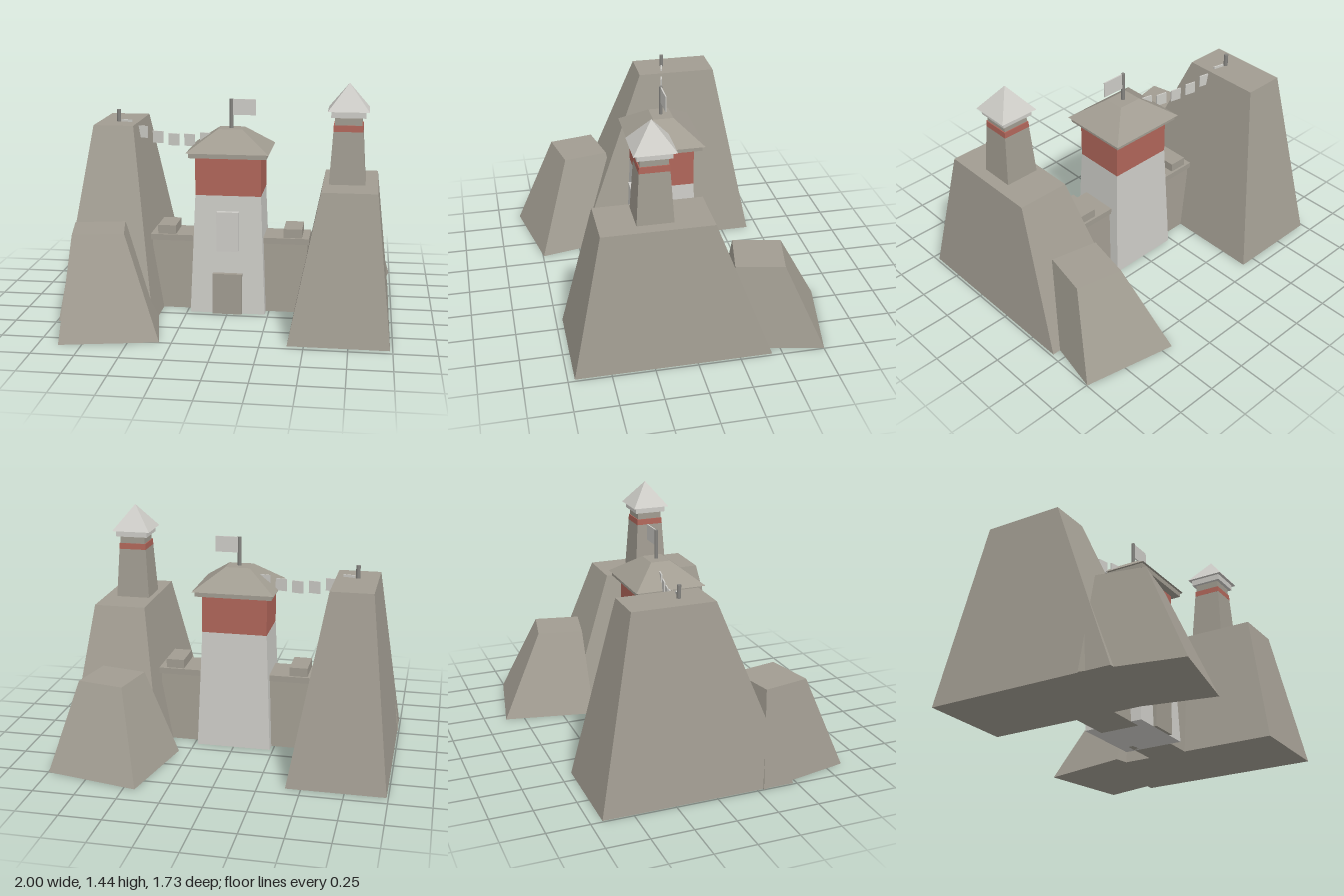
import * as THREE from 'three';

const mat = (name, color) => {
  const m = new THREE.MeshStandardMaterial({ color });
  m.name = name;
  return m;
};

export function createModel() {
  const stone = mat('stone', 0xa19c91);
  const plaster = mat('pale plaster', 0xcdccc7);
  const red = mat('faded red', 0xb0665a);
  const metal = mat('mast grey', 0x858480);

  const model = new THREE.Group();
  model.name = 'cliffFort';

  const add = (parent, name, geometry, material, x, y, z, turn = 0) => {
    const mesh = new THREE.Mesh(geometry, material);
    mesh.name = name;
    mesh.position.set(x, y, z);
    mesh.rotation.y = turn;
    parent.add(mesh);
    return mesh;
  };

  // Box standing on y = 0 whose top may be smaller and shifted
  const block = (w, h, d, topW = w, topD = d, shiftX = 0, shiftZ = 0) => {
    const g = new THREE.BoxGeometry(w, h, d).translate(0, h / 2, 0);
    const p = g.attributes.position;
    for (let i = 0; i < p.count; i++) {
      if (p.getY(i) < h / 2) continue;
      p.setX(i, p.getX(i) * topW / w + shiftX);
      p.setZ(i, p.getZ(i) * topD / d + shiftZ);
    }
    g.computeVertexNormals();
    return g;
  };

  // Cliffs
  const cliffs = new THREE.Group();
  cliffs.name = 'cliffs';
  model.add(cliffs);
  add(cliffs, 'tallCliff', block(0.58, 1.125, 1.16, 0.25, 0.49, -0.035, -0.115), stone, -0.7, 0, -0.1);
  add(cliffs, 'wideCliff', block(0.58, 0.855, 1.15, 0.32, 0.64, 0.04, 0.075), stone, 0.695, 0, 0.135);
  add(cliffs, 'frontBoulder', block(0.572, 0.58, 0.582, 0.3, 0.287, -0.057, -0.093), stone, -0.66, 0, 0.517, 0.2);
  add(cliffs, 'backBoulder', block(0.575, 0.508, 0.576, 0.288, 0.287, 0.057, 0.098), stone, 0.658, 0, -0.527, -0.2);

  // Gate tower
  const tower = new THREE.Group();
  tower.name = 'gateTower';
  tower.position.z = 0.015;
  model.add(tower);
  add(tower, 'towerBody', block(0.46, 0.735, 0.38, 0.4, 0.32), plaster, 0, 0, 0);
  add(tower, 'redStorey', block(0.4, 0.235, 0.32), red, 0, 0.735, 0);
  add(tower, 'eaves', block(0.47, 0.03, 0.41), stone, 0, 0.97, 0);
  add(tower, 'hippedRoof', block(0.5, 0.125, 0.44, 0.15, 0.123), stone, 0, 1, 0);
  add(tower, 'door', block(0.18, 0.255, 0.06), stone, 0, 0, 0.18);
  add(tower, 'windowPanel', block(0.135, 0.245, 0.05), plaster, 0, 0.395, 0.17);
  add(tower, 'flagMast', new THREE.CylinderGeometry(0.012, 0.012, 0.19, 8), metal, 0, 1.208, 0);
  add(tower, 'flag', block(0.14, 0.097, 0.008), plaster, 0.08, 1.205, 0);

  // Curtain walls on both sides of the tower
  for (const side of [-1, 1]) {
    const wall = new THREE.Group();
    wall.name = side < 0 ? 'rightWall' : 'leftWall';
    wall.position.set(side * 0.315, 0, 0.012);
    model.add(wall);
    add(wall, 'wallBody', block(0.33, 0.43, 0.25, 0.33, 0.2), stone, 0, 0, 0);
    add(wall, 'coping', block(0.35, 0.037, 0.23), stone, 0, 0.43, 0);
    add(wall, 'merlon', block(0.112, 0.056, 0.2), stone, side * 0.075, 0.466, 0);
  }

  // Lookout tower on the wide cliff
  const lookout = new THREE.Group();
  lookout.name = 'lookoutTower';
  lookout.position.set(0.715, 0, 0.213);
  model.add(lookout);
  add(lookout, 'lookoutShaft', block(0.212, 0.315, 0.212, 0.172, 0.172), stone, 0, 0.85, 0);
  add(lookout, 'redBand', block(0.173, 0.037, 0.173, 0.17, 0.17), red, 0, 1.163, 0);
  add(lookout, 'lanternRoom', block(0.158, 0.045, 0.158), stone, 0, 1.2, 0);
  add(lookout, 'lookoutEaves', block(0.2, 0.037, 0.2), plaster, 0, 1.245, 0);
  const cone = new THREE.ConeGeometry(0.12 * Math.SQRT2, 0.155, 4, 1).rotateY(Math.PI / 4).toNonIndexed();
  cone.computeVertexNormals();
  add(lookout, 'lookoutRoof', cone, plaster, 0, 1.3595, 0);

  // Bunting hanging between the cliff mast and the tower
  add(model, 'cliffMast', new THREE.CylinderGeometry(0.013, 0.013, 0.1, 8), metal, -0.738, 1.152, -0.14);
  const bunting = new THREE.Group();
  bunting.name = 'bunting';
  model.add(bunting);
  [1.102, 1.067, 1.04, 1.03, 1.033, 1.047].forEach((y, i) => {
    const x = -0.685 + i * 0.104;
    add(bunting, 'pennant', block(0.07, 0.075, 0.008), plaster, x, y - 0.0375, -0.14 + (x + 0.738) * 0.21, -0.207);
  });

  return model;
}
